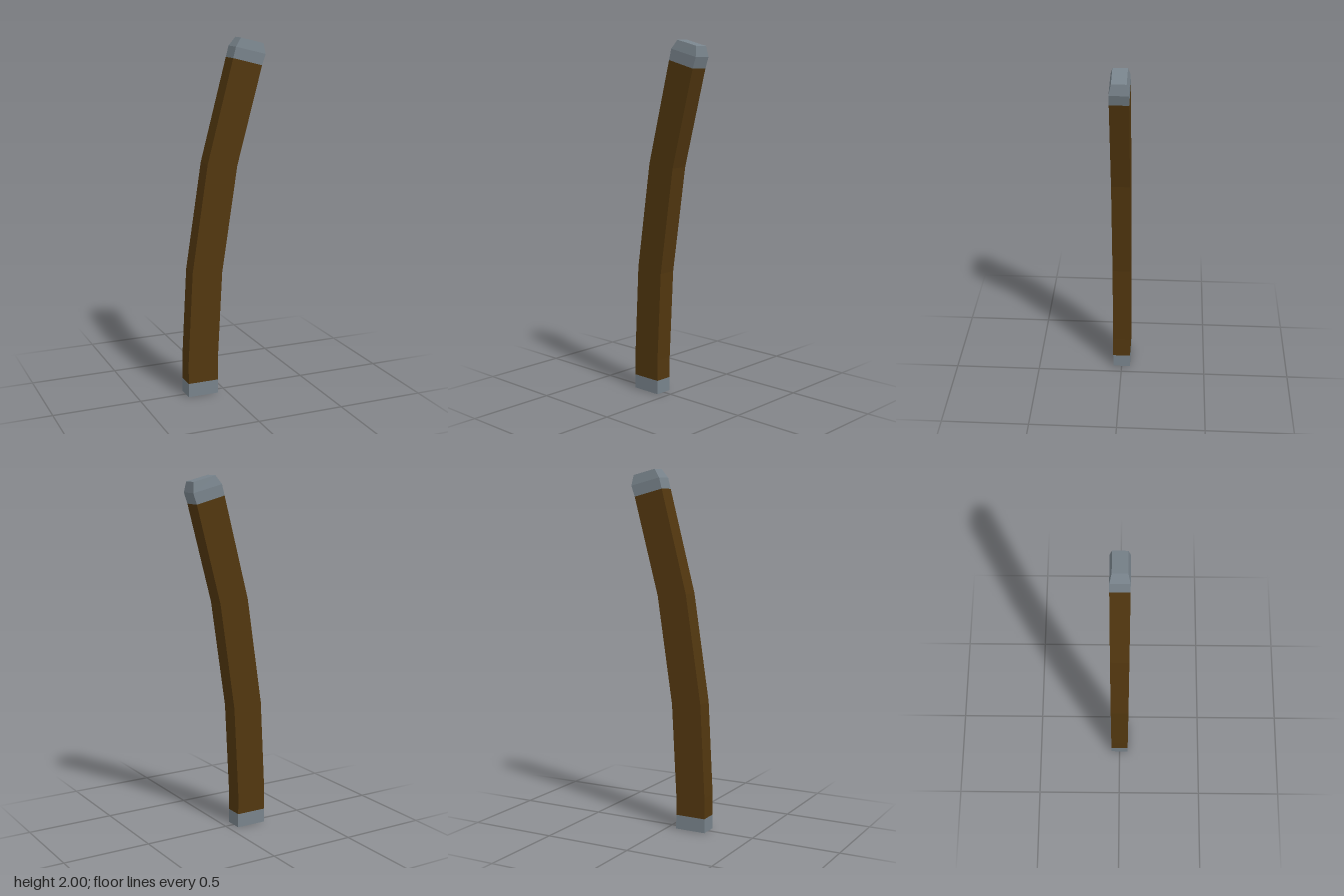
import * as THREE from 'three';

const wood = new THREE.MeshStandardMaterial({ color: 0x52370f });
wood.name = 'brown';
const metal = new THREE.MeshStandardMaterial({ color: 0x78838b });
metal.name = 'steelGrey';

// Skins four-cornered sections [leftX, leftY, rightX, rightY, halfDepth], with flat faces
function loft(name, sections, material, closeStart, closeEnd) {
  const rings = sections.map(([lx, ly, rx, ry, d]) => [
    [lx, ly, d], [rx, ry, d], [rx, ry, -d], [lx, ly, -d],
  ]);
  const positions = [];
  const quad = (a, b, c, d) => positions.push(...a, ...b, ...c, ...a, ...c, ...d);
  for (let i = 0; i < rings.length - 1; i++) {
    for (let j = 0; j < 4; j++) {
      const k = (j + 1) % 4;
      quad(rings[i][j], rings[i][k], rings[i + 1][k], rings[i + 1][j]);
    }
  }
  if (closeStart) quad(...[...rings[0]].reverse());
  if (closeEnd) quad(...rings[rings.length - 1]);
  const geometry = new THREE.BufferGeometry();
  geometry.setAttribute('position', new THREE.Float32BufferAttribute(positions, 3));
  geometry.computeVertexNormals();
  const mesh = new THREE.Mesh(geometry, material);
  mesh.name = name;
  return mesh;
}

export function createModel() {
  const group = new THREE.Group();
  group.name = 'scabbard';
  const D = 0.051;

  // Mouth fitting: recess floor, recess wall, rim, outer band
  group.add(loft('mouthFitting', [
    [-0.205, 0.07, -0.077, 0.07, 0.03],
    [-0.205, 0, -0.077, 0, 0.03],
    [-0.23, 0, -0.053, 0, D],
    [-0.23, 0.08, -0.053, 0.08, D],
  ], metal, true, false));

  // Curved sheath body
  group.add(loft('sheathBody', [
    [-0.23, 0.08, -0.053, 0.08, D],
    [-0.23, 0.2, -0.053, 0.2, D],
    [-0.202, 0.725, -0.026, 0.71, D],
    [-0.111, 1.325, 0.064, 1.31, D],
    [0.038, 1.893, 0.208, 1.85, D],
  ], wood, false, false));

  // Bevelled tip fitting
  group.add(loft('tipFitting', [
    [0.038, 1.893, 0.208, 1.85, D],
    [0.054, 1.953, 0.229, 1.91, D],
    [0.088, 2, 0.221, 1.968, 0.039],
  ], metal, false, true));

  return group;
}
